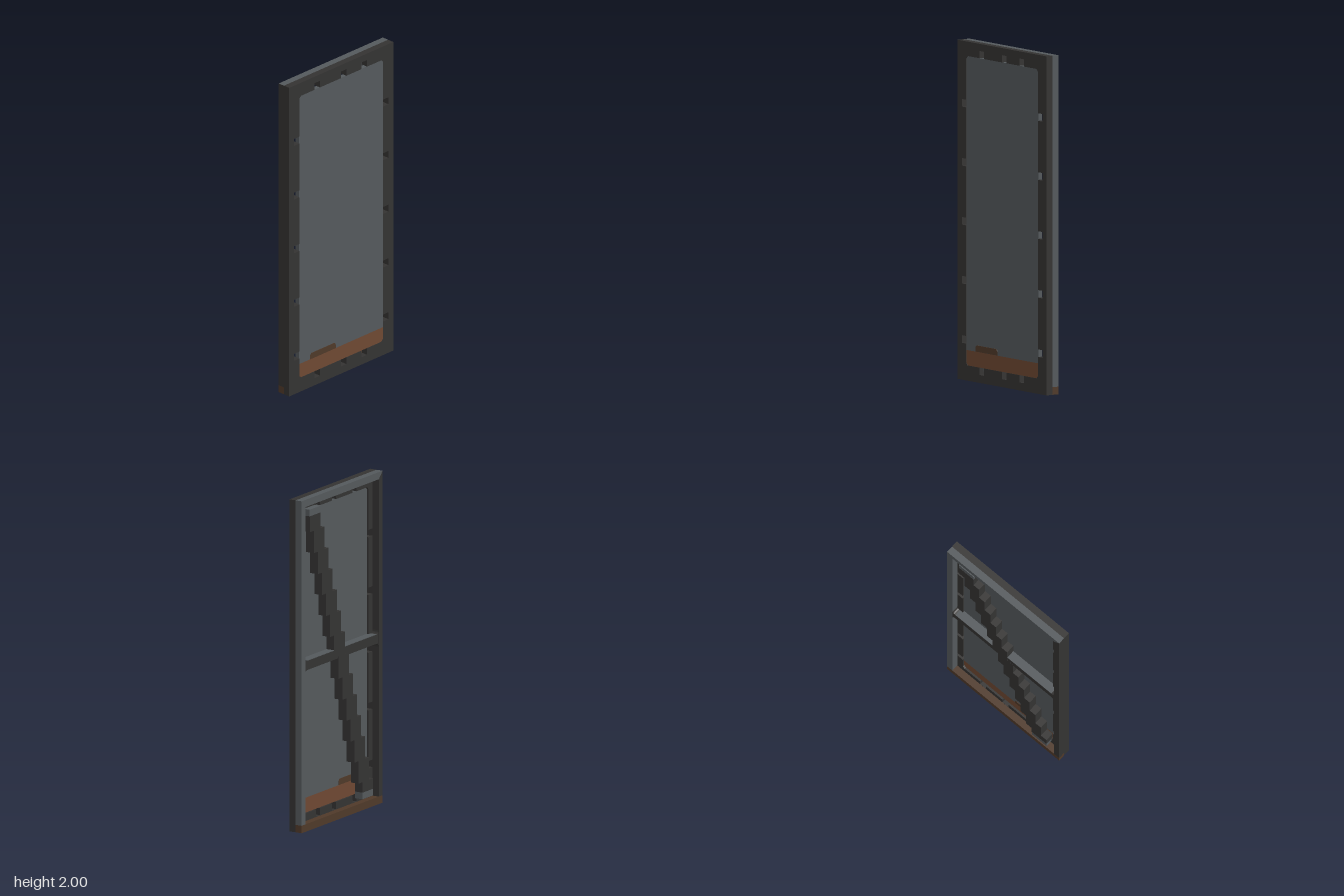
import * as THREE from 'three';

const mat = (name, color) => {
  const m = new THREE.MeshStandardMaterial({ color });
  m.name = name;
  return m;
};

export function createModel() {
  const dark = mat('dark metal', 0x343332);
  const grey = mat('slate grey', 0x54595c);
  const rust = mat('rust brown', 0x6e4832);
  const deepRust = mat('deep brown', 0x4f3929);

  const group = new THREE.Group();
  group.name = 'doorPanel';

  const add = (name, geometry, material) => {
    const mesh = new THREE.Mesh(geometry, material);
    mesh.name = name;
    group.add(mesh);
    return mesh;
  };
  // Box given by its limits
  const box = (name, x0, x1, y0, y1, z0, z1, material) =>
    add(name, new THREE.BoxGeometry(x1 - x0, y1 - y0, z1 - z0), material)
      .position.set((x0 + x1) / 2, (y0 + y1) / 2, (z0 + z1) / 2);
  // Flat outline extruded between two depths
  const slab = (name, shape, z0, z1, material) => {
    const g = new THREE.ExtrudeGeometry(shape, { depth: z1 - z0, bevelEnabled: false, curveSegments: 4 });
    add(name, g.translate(0, 0, z0), material);
  };
  const polygon = (pts) => new THREE.Shape(pts.map(([x, y]) => new THREE.Vector2(x, y)));

  const W = 0.434, H = 2, D = 0.043;           // outer half width, height, half depth
  const X = 0.35, Y0 = 0.09, Y1 = 1.915;       // opening
  const N = 0.043, h = 0.0225, c = 0.015;      // notch depth, half size, corner cut
  const sideHoles = [0.24, 0.59, 0.937, 1.285, 1.633];
  const endHoles = [-0.2, 0.02, 0.193];

  // Front frame, its opening notched by square holes
  const opening = [[-X, Y0 + c], [-X + c, Y0]];
  for (const x of endHoles) opening.push([x - h, Y0], [x - h, Y0 - N], [x + h, Y0 - N], [x + h, Y0]);
  opening.push([X - c, Y0], [X, Y0 + c]);
  for (const y of sideHoles) opening.push([X, y - h], [X + N, y - h], [X + N, y + h], [X, y + h]);
  opening.push([X, Y1 - c], [X - c, Y1]);
  for (const x of [...endHoles].reverse()) opening.push([x + h, Y1], [x + h, Y1 + N], [x - h, Y1 + N], [x - h, Y1]);
  opening.push([-X + c, Y1], [-X, Y1 - c]);
  for (const y of [...sideHoles].reverse()) opening.push([-X, y + h], [-X - N, y + h], [-X - N, y - h], [-X, y - h]);
  const frame = polygon([[-W, 0], [W, 0], [W, H], [-W, H]]);
  frame.holes.push(polygon(opening));
  slab('frontFrame', frame, 0, D, dark);

  // Panel with a rusted strip at the foot
  const split = 0.18, zp0 = 0.012, zp1 = 0.041;
  slab('panel', polygon([[-X, split], [X, split], [X, Y1 - c], [X - c, Y1], [-X + c, Y1], [-X, Y1 - c]]), zp0, zp1, grey);
  slab('panelFoot', polygon([[-X, Y0 + c], [-X + c, Y0], [X - c, Y0], [X, Y0 + c], [X, split], [-X, split]]), zp0, zp1, rust);
  const patch = polygon([[-0.26, 0.181], [-0.046, 0.181], [-0.046, 0.205], [-0.056, 0.218], [-0.248, 0.218], [-0.26, 0.205]]);
  slab('rustPatch', patch, zp0 - 0.003, zp1 + 0.003, deepRust);

  // Raised rim around the back
  const rx = 0.393, ry0 = 0.045, ry1 = 1.957;
  slab('topRim', polygon([[-rx, ry1], [W, ry1], [W, H], [-W, H]]), -D, 0, grey);
  slab('rightRim', polygon([[-W, ry0], [-rx, ry0], [-rx, ry1], [-W, H]]), -D, 0, dark);
  box('bottomRim', -W, W, 0, ry0, -D, 0, deepRust);
  box('leftRim', rx, W, ry0, ry1, -D, 0, grey);

  // Crossbar, flared where it meets the rim, with a lighter top face
  const zb = -0.041, b0 = 0.97, b1 = 1.025, f = 0.022;
  const bar = new THREE.Shape();
  bar.moveTo(-rx, b0 - f);
  bar.quadraticCurveTo(-rx, b0, -rx + f, b0);
  bar.lineTo(rx - f, b0);
  bar.quadraticCurveTo(rx, b0, rx, b0 - f);
  bar.lineTo(rx, b1 + f);
  bar.quadraticCurveTo(rx, b1, rx - f, b1);
  bar.lineTo(-rx + f, b1);
  bar.quadraticCurveTo(-rx, b1, -rx, b1 + f);
  slab('crossbar', bar, zb, 0, dark);
  box('crossbarInner', -X, X, b0, b1, 0, zp0, dark);
  box('crossbarTop', -rx + f, rx - f, b1, b1 + 0.003, zb, 0, grey);
  box('crossbarInnerTop', -X, X, b1, b1 + 0.003, 0, zp0, grey);

  // Stepped diagonal brace, capped in grey at both ends
  const rows = 14, rowH = 0.1355, step = 0.0435, width = 0.1145;
  const braceTop = 1.93, braceFoot = 0.065, cap = 0.04, x0 = 0.2305;
  const right = [], left = [];
  for (let i = 0; i < rows; i++) {
    const x = x0 - step * i;
    const top = i === 0 ? braceTop - cap : braceTop - rowH * i;
    const bottom = i === rows - 1 ? braceFoot + cap : braceTop - rowH * (i + 1);
    right.push([x, top], [x, bottom]);
    left.push([x + width, top], [x + width, bottom]);
  }
  slab('diagonalBrace', polygon([...left, ...right.reverse()]), zb - 0.001, zp0, dark);
  const x1 = x0 - step * (rows - 1);
  box('braceTopCap', x0, x0 + width, braceTop - cap, braceTop, zb, zp0, grey);
  box('braceFootCap', x1, x1 + width, braceFoot, braceFoot + cap, zb, zp0, grey);

  return group;
}
